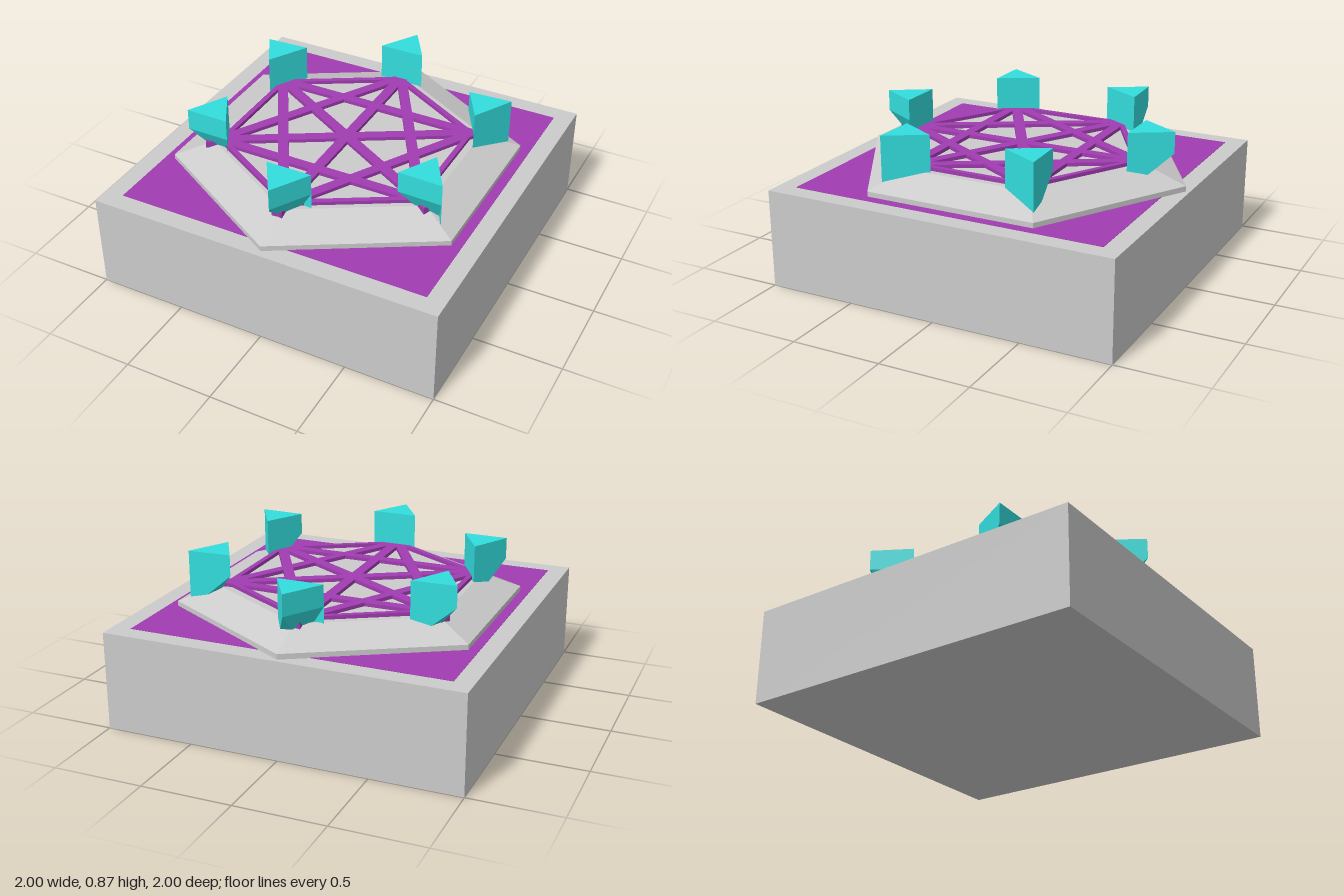
import * as THREE from 'three';

const material = (color) => new THREE.MeshStandardMaterial({ color, flatShading: true });
const grey = material(0xcccccc);
const purple = material(0xa03cb0);
const teal = material(0x33dddd);

const BEND = 0.75;  // height where a pillar starts to taper
const FOOT = 0.54;  // height where the taper ends
const TOP = 0.87;

function add(parent, name, geometry, mat, x = 0, y = 0, z = 0) {
  const mesh = new THREE.Mesh(geometry, mat);
  mesh.name = name;
  mesh.position.set(x, y, z);
  parent.add(mesh);
  return mesh;
}

// Straight bar between two floor points [x, z]
function bar(parent, name, a, b, width) {
  const dx = b[0] - a[0], dz = b[1] - a[1];
  const mesh = add(parent, name, new THREE.BoxGeometry(Math.hypot(dx, dz), 0.04, width), purple,
    (a[0] + b[0]) / 2, 0.662, (a[1] + b[1]) / 2);
  mesh.rotation.y = -Math.atan2(dz, dx);
}

// Three-sided pillar: corner a tapers down to the middle of the upright face b-c
function pillarGeometry(a, b, c) {
  // keep the corners in counter-clockwise order seen from above
  const turn = (b[1] - a[1]) * (c[0] - a[0]) - (b[0] - a[0]) * (c[1] - a[1]);
  if (turn < 0) [b, c] = [c, b];
  const foot = [(b[0] + c[0]) / 2, (b[1] + c[1]) / 2];
  const rings = [[FOOT, foot, b, c], [BEND, a, b, c], [TOP, a, b, c]];
  const points = rings.flatMap(([y, ...corners]) => corners.flatMap(([x, z]) => [x, y, z]));
  const index = [6, 7, 8];
  for (let r = 0; r < 2; r++) {
    for (let i = 0; i < 3; i++) {
      const p = r * 3 + i, q = r * 3 + (i + 1) % 3;
      index.push(p, q, q + 3, p, q + 3, p + 3);
    }
  }
  const geometry = new THREE.BufferGeometry();
  geometry.setAttribute('position', new THREE.Float32BufferAttribute(points, 3));
  geometry.setIndex(index);
  const flat = geometry.toNonIndexed();
  flat.computeVertexNormals();
  return flat;
}

export function createModel() {
  const model = new THREE.Group();
  model.name = 'hexagonPlatform';

  // Square base with a coloured inlay
  add(model, 'base', new THREE.BoxGeometry(2, 0.55, 2), grey, 0, 0.275, 0);
  add(model, 'floorInlay', new THREE.BoxGeometry(1.79, 0.01, 1.79), purple, 0, 0.547, 0);

  // Hexagonal plinth: low rim and bevelled top
  add(model, 'plinthRim', new THREE.CylinderGeometry(0.97, 0.97, 0.03, 6), grey, 0, 0.565, -0.008);
  add(model, 'plinthTop', new THREE.CylinderGeometry(0.745, 0.97, 0.082, 6), grey, 0, 0.621, -0.008);

  // Lattice joining all six corners
  const lattice = new THREE.Group();
  lattice.name = 'lattice';
  lattice.position.x = -0.006;
  model.add(lattice);
  const corner = (i, r) => [r * Math.sin(i * Math.PI / 3), r * Math.cos(i * Math.PI / 3)];
  for (let i = 0; i < 6; i++) {
    bar(lattice, 'edgeBar', corner(i, 0.69), corner(i + 1, 0.69), 0.03);
    bar(lattice, 'starBar', corner(i, 0.705), corner(i + 2, 0.705), 0.058);
    if (i < 3) bar(lattice, 'crossBar', corner(i, 0.78), corner(i + 3, 0.78), 0.06);
  }

  // Pillars: tapering corner first, then the two corners of the upright face
  const pillars = {
    frontPillar: [[0.005, 0.87], [-0.13, 0.655], [0.13, 0.655]],
    backPillar: [[0, -0.905], [-0.13, -0.69], [0.13, -0.69]],
    leftFrontPillar: [[0.51, 0.43], [0.76, 0.437], [0.63, 0.215]],
    rightFrontPillar: [[-0.76, 0.43], [-0.515, 0.432], [-0.642, 0.21]],
    leftBackPillar: [[0.53, -0.45], [0.775, -0.463], [0.65, -0.238]],
    rightBackPillar: [[-0.76, -0.452], [-0.513, -0.463], [-0.64, -0.24]],
  };
  for (const [name, [a, b, c]] of Object.entries(pillars)) {
    add(model, name, pillarGeometry(a, b, c), teal);
  }
  return model;
}
